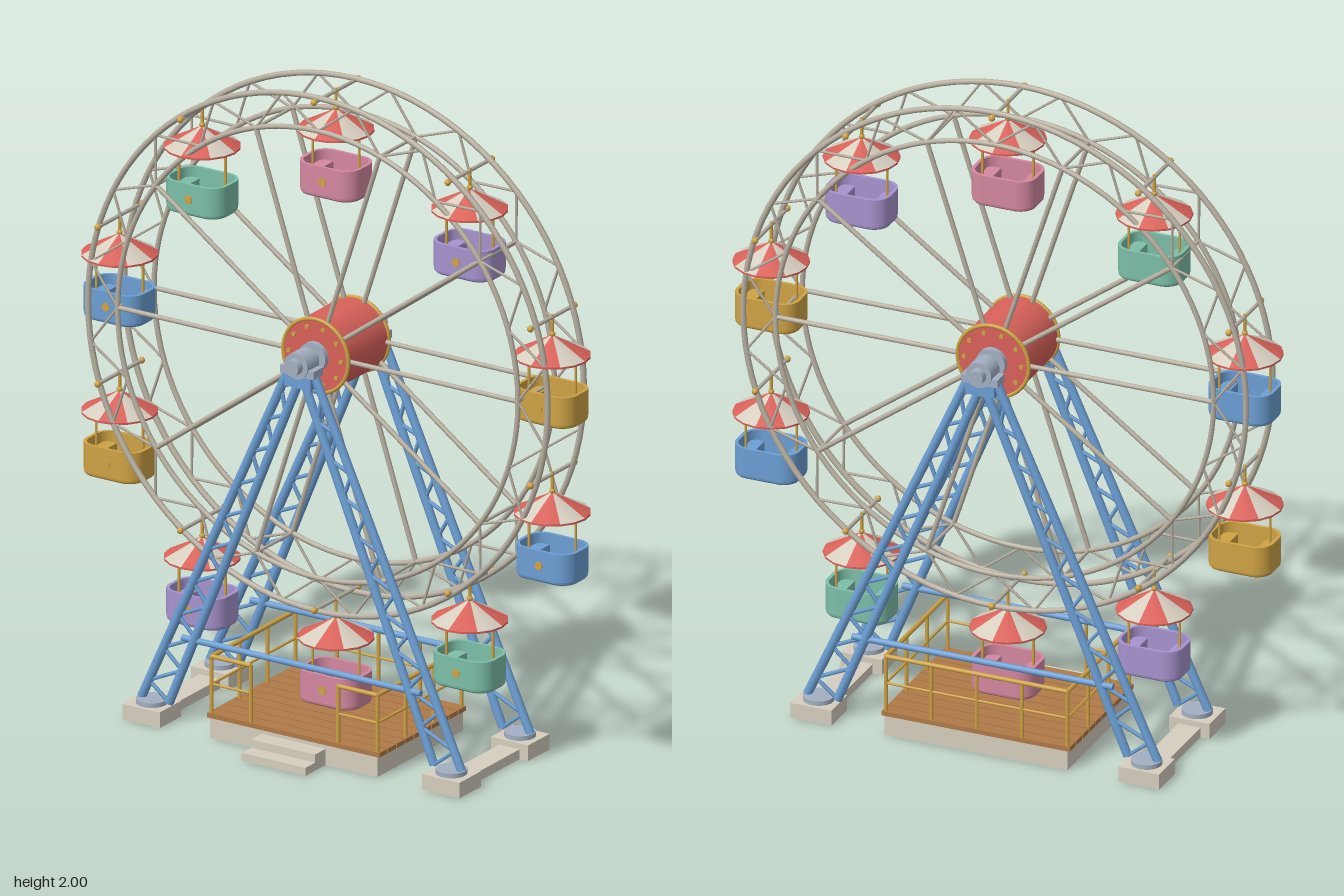
import * as THREE from 'three';

const mat = (name, color) => Object.assign(new THREE.MeshStandardMaterial({ color }), { name });
const V = (x, y, z) => new THREE.Vector3(x, y, z);

export function createModel() {
  const cream = mat('cream', 0xd6cebf), red = mat('red', 0xd9625a), blue = mat('blue', 0x6c9fd4);
  const gold = mat('gold', 0xcfa344), pink = mat('pink', 0xd488a0), purple = mat('purple', 0xa793cf);
  const teal = mat('teal', 0x7cbfa8), wood = mat('wood', 0xb07a48), metal = mat('metal', 0xa3b0c2);
  const steel = mat('steel', 0xb8b0a1);

  const model = new THREE.Group();
  model.name = 'ferrisWheel';
  const ZC = -0.047, CY = 1.2;          // wheel centre
  const RING_Z = 0.095, LEG_Z = 0.18;   // half spacings of rings and legs
  const R_OUT = 0.79, R_IN = 0.688, R_PIVOT = 0.782;

  const group = (parent, name) => {
    const g = new THREE.Group();
    g.name = name;
    parent.add(g);
    return g;
  };
  const put = (parent, name, geo, material, x = 0, y = 0, z = 0) => {
    const m = new THREE.Mesh(geo, material);
    m.name = name;
    m.position.set(x, y, z);
    parent.add(m);
    return m;
  };
  const box = (parent, name, material, w, h, d, x, y, z) =>
    put(parent, name, new THREE.BoxGeometry(w, h, d), material, x, y, z);
  // round bar between two points
  const bar = (parent, name, material, a, b, r, sides = 8) => {
    const d = b.clone().sub(a);
    const m = put(parent, name, new THREE.CylinderGeometry(r, r, d.length(), sides), material);
    m.position.copy(a).add(b).multiplyScalar(0.5);
    m.quaternion.setFromUnitVectors(V(0, 1, 0), d.normalize());
    return m;
  };
  const polar = (deg, r, z) => {
    const a = THREE.MathUtils.degToRad(deg);
    return V(Math.sin(a) * r, Math.cos(a) * r, z);
  };

  // ---- wheel: rings, zigzag bracing, spokes, crossbars
  const wheel = group(model, 'wheel');
  wheel.position.set(0, CY, ZC);
  for (const s of [-1, 1]) {
    const z = s * RING_Z;
    put(wheel, 'outerRing', new THREE.TorusGeometry(R_OUT, 0.009, 8, 96), steel, 0, 0, z);
    put(wheel, 'innerRing', new THREE.TorusGeometry(R_IN, 0.008, 8, 96), steel, 0, 0, z);
    for (let i = 0; i < 40; i++) {
      const r = k => (k % 2 ? R_OUT : R_IN);
      bar(wheel, 'ringBrace', steel, polar(i * 9, r(i), z), polar(i * 9 + 9, r(i + 1), z), 0.004, 6);
    }
    for (let i = 0; i < 10; i++)
      bar(wheel, 'spoke', steel, polar(18 + i * 36, 0.09, z), polar(18 + i * 36, R_IN, z), 0.0075);
  }
  for (let i = 0; i < 10; i++) {
    bar(wheel, 'cabinAxle', steel, polar(i * 36, R_PIVOT, -0.115), polar(i * 36, R_PIVOT, 0.115), 0.006);
    bar(wheel, 'innerCrossbar', steel, polar(18 + i * 36, R_IN, -RING_Z), polar(18 + i * 36, R_IN, RING_Z), 0.005);
    for (const s of [-1, 1])
      put(wheel, 'axleKnob', new THREE.SphereGeometry(0.01, 10, 8), gold).position.copy(polar(i * 36, R_PIVOT, s * 0.115));
  }

  // ---- hub drum with gold rims and bolts, on a metal axle
  const hub = group(wheel, 'hub');
  bar(hub, 'hubDrum', red, V(0, 0, -0.108), V(0, 0, 0.108), 0.112, 40);
  bar(hub, 'axle', metal, V(0, 0, -0.235), V(0, 0, 0.235), 0.024, 20);
  for (const s of [-1, 1]) {
    put(hub, 'hubRim', new THREE.TorusGeometry(0.112, 0.006, 8, 48), gold, 0, 0, s * 0.106);
    bar(hub, 'hubCollar', metal, V(0, 0, s * 0.105), V(0, 0, s * 0.125), 0.045, 24);
    for (let i = 0; i < 10; i++)
      bar(hub, 'hubBolt', gold, polar(18 + i * 36, 0.09, s * 0.105), polar(18 + i * 36, 0.09, s * 0.113), 0.007);
  }

  // ---- cabins
  const plan = (w, d, r) => {
    const s = new THREE.Shape();
    const x = w / 2, y = d / 2;
    s.moveTo(-x + r, -y).lineTo(x - r, -y).absarc(x - r, -y + r, r, -Math.PI / 2, 0);
    s.lineTo(x, y - r).absarc(x - r, y - r, r, 0, Math.PI / 2);
    s.lineTo(-x + r, y).absarc(-x + r, y - r, r, Math.PI / 2, Math.PI);
    s.lineTo(-x, -y + r).absarc(-x + r, -y + r, r, Math.PI, Math.PI * 1.5);
    return s;
  };
  const wallPlan = plan(0.2, 0.143, 0.05);
  wallPlan.holes.push(plan(0.18, 0.123, 0.04));
  const wallGeo = new THREE.ExtrudeGeometry(wallPlan, { depth: 0.08, bevelEnabled: false, curveSegments: 8 })
    .rotateX(-Math.PI / 2);
  const floorGeo = new THREE.ExtrudeGeometry(plan(0.18, 0.123, 0.042),
    { depth: 0.008, bevelThickness: 0.012, bevelSize: 0.01, bevelSegments: 3, curveSegments: 8 }).rotateX(-Math.PI / 2);
  const CANOPY_R = 0.112;

  const makeCabin = (parent, paint) => {
    const c = group(parent, 'cabin');
    put(c, 'cabinWall', wallGeo, paint, 0, -0.294, 0);
    put(c, 'cabinFloor', floorGeo, paint, 0, -0.3, 0);
    for (const s of [-1, 1]) {
      box(c, 'cabinSeat', paint, 0.04, 0.04, 0.11, s * 0.065, -0.265, 0);
      bar(c, 'cabinPost', gold, V(s * 0.08, -0.28, 0), V(s * 0.08, -0.112, 0), 0.004);
    }
    bar(c, 'cabinEmblem', gold, V(0, -0.26, 0.07), V(0, -0.26, 0.075), 0.013, 10);
    // striped canopy with a red underside
    for (let i = 0; i < 8; i++)
      put(c, 'canopyPanel', new THREE.ConeGeometry(CANOPY_R, 0.06, 2, 1, true, i * Math.PI / 4, Math.PI / 4),
        i % 2 ? cream : red, 0, -0.084, 0);
    put(c, 'canopyRim', new THREE.CylinderGeometry(CANOPY_R, CANOPY_R, 0.006, 16), red, 0, -0.117, 0);
    bar(c, 'hangerRod', gold, V(0, -0.06, 0), V(0, 0.008, 0), 0.005);
    put(c, 'canopyFinial', new THREE.SphereGeometry(0.009, 10, 8), gold, 0, -0.052, 0);
    return c;
  };
  const paints = [pink, purple, gold, blue, teal];
  for (let i = 0; i < 10; i++)
    makeCabin(wheel, paints[i % 5]).position.copy(polar(i * 36, R_PIVOT, 0));

  // ---- A-frames: two lattice legs each, footing, bearing
  const support = group(model, 'support');
  for (const sz of [-1, 1]) {
    const z = ZC + sz * LEG_Z;
    for (const s of [-1, 1]) {
      const outer = t => V(s * (0.55 - 0.505 * t), 0.06 + 1.11 * t, z);
      const inner = t => V(s * (0.455 - 0.445 * t), 0.06 + 1.08 * t, z);
      bar(support, 'legOuterTube', blue, outer(0), outer(1), 0.0135, 10);
      bar(support, 'legInnerTube', blue, inner(0), inner(1), 0.0135, 10);
      const n = 20;
      for (let i = 0; i < n; i++) {
        const a = (i % 2 ? outer : inner)(i / n), b = (i % 2 ? inner : outer)((i + 1) / n);
        bar(support, 'legLattice', blue, a, b, 0.006, 6);
      }
      box(support, 'footing', cream, 0.128, 0.048, 0.112, s * 0.515, 0.024, z);
      bar(support, 'footPlate', metal, V(s * 0.515, 0.045, z), V(s * 0.515, 0.062, z), 0.046, 20);
    }
    bar(support, 'tieBeam', blue, V(-0.41, 0.27, z), V(0.41, 0.27, z), 0.01);
    box(support, 'apexBlock', blue, 0.09, 0.05, 0.045, 0, 1.155, z);
    box(support, 'bearingBase', metal, 0.115, 0.025, 0.05, 0, 1.18, z);
    bar(support, 'bearing', metal, V(0, CY, z - 0.03), V(0, CY, z + 0.03), 0.04, 24);
  }
  for (const s of [-1, 1])
    box(support, 'footingBeam', cream, 0.07, 0.03, 0.3, s * 0.515, 0.015, ZC);

  // ---- boarding platform with plank deck and steps
  const platform = group(model, 'platform');
  const PZ = -0.05;
  box(platform, 'platformBase', cream, 0.575, 0.062, 0.45, 0, 0.031, PZ);
  const planks = 10, pitch = 0.46 / planks;
  for (let i = 0; i < planks; i++)
    box(platform, 'deckPlank', wood, 0.592, 0.014, pitch - 0.005, 0, 0.069, PZ - 0.23 + pitch * (i + 0.5));
  box(platform, 'upperStep', cream, 0.22, 0.05, 0.06, 0, 0.025, 0.2);
  box(platform, 'lowerStep', cream, 0.22, 0.025, 0.1, 0, 0.0125, 0.23);

  // ---- railings, open at the steps
  const rail = (x1, z1, x2, z2, spans) => {
    const g = group(platform, 'railing');
    for (const [y, r] of [[0.25, 0.007], [0.165, 0.004]])
      bar(g, 'rail', gold, V(x1, y, z1), V(x2, y, z2), r);
    for (let i = 0; i <= spans; i++) {
      const p = V(x1, 0, z1).lerp(V(x2, 0, z2), i / spans);
      bar(g, 'railPost', gold, p.clone().setY(0.07), p.clone().setY(0.253), 0.006);
    }
  };
  const FZ = 0.17, BZ = -0.27, X = 0.285;
  rail(-X, BZ, X, BZ, 4);
  for (const s of [-1, 1]) {
    rail(s * X, BZ, s * X, FZ, 3);
    rail(s * X, FZ, s * 0.15, FZ, 1);
  }
  return model;
}
